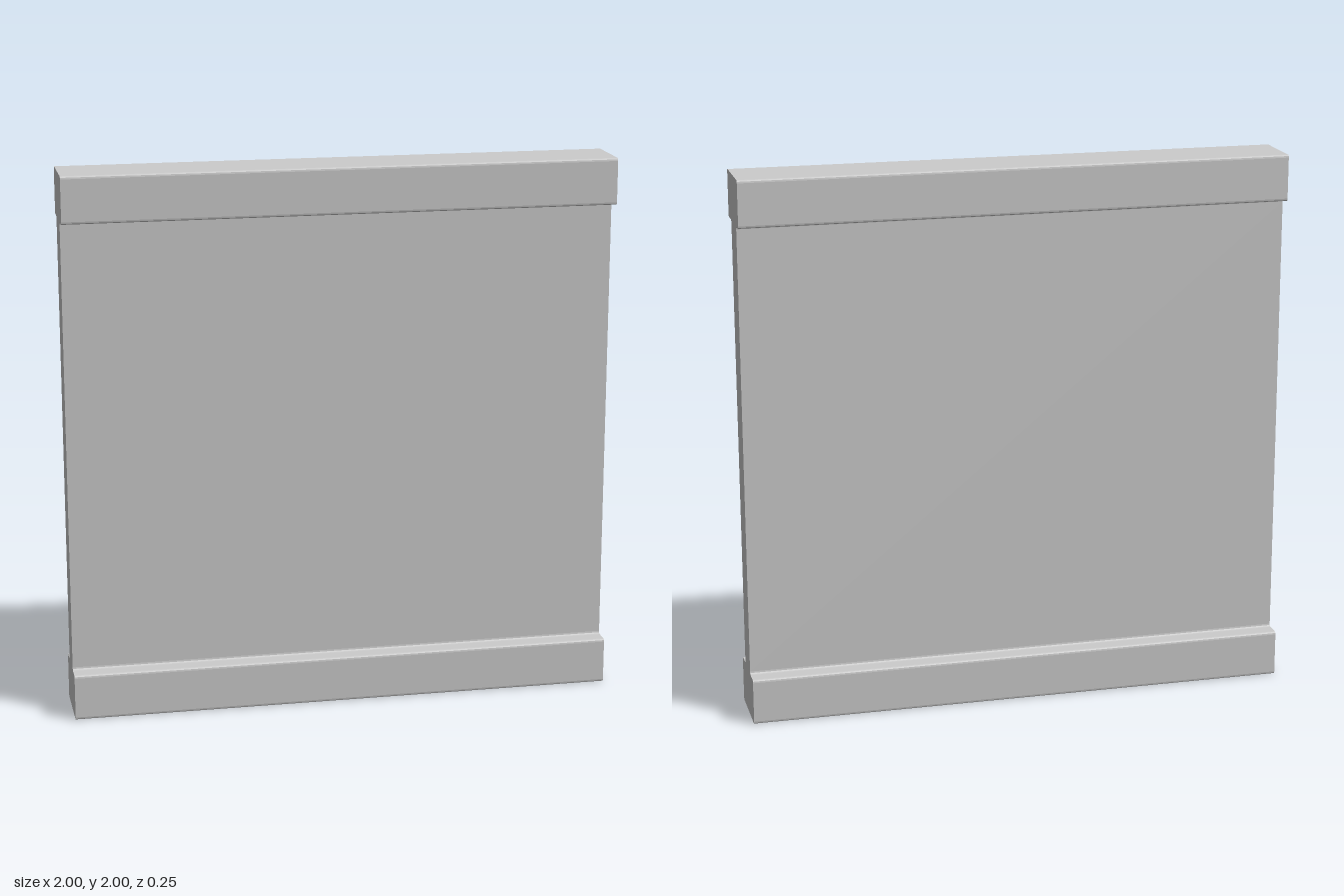
import * as THREE from 'three';

// Closed outline with every corner slightly rounded
function roundedOutline(points, r) {
  const shape = new THREE.Shape();
  const n = points.length;
  points.forEach((p, i) => {
    const toward = (q) => p.clone().add(q.clone().sub(p).setLength(r));
    const a = toward(points[(i + n - 1) % n]);
    const b = toward(points[(i + 1) % n]);
    if (i === 0) shape.moveTo(a.x, a.y);
    else shape.lineTo(a.x, a.y);
    shape.quadraticCurveTo(p.x, p.y, b.x, b.y);
  });
  shape.closePath();
  return shape;
}

export function createModel() {
  const group = new THREE.Group();
  group.name = 'railedPanel';

  // Cross-section (z, y): wide foot rail, thin web, head rail shallower at the back
  const front = 0.124, footBack = -0.124, headBack = -0.108, web = 0.058;
  const footTop = 0.17, headBottom = 1.83, height = 2;
  const section = [
    [footBack, 0], [front, 0], [front, footTop], [web, footTop],
    [web, headBottom], [front, headBottom], [front, height], [headBack, height],
    [headBack, headBottom], [-web, headBottom], [-web, footTop], [footBack, footTop],
  ].map(([z, y]) => new THREE.Vector2(z, y));

  // Extruded along the full width
  const geometry = new THREE.ExtrudeGeometry(roundedOutline(section, 0.01), {
    depth: 2, bevelEnabled: false, curveSegments: 3,
  });
  geometry.rotateY(-Math.PI / 2);
  geometry.translate(1, 0, 0);

  const panel = new THREE.Mesh(geometry, new THREE.MeshStandardMaterial({ color: 0xcccccc }));
  panel.name = 'panelWithRails';
  group.add(panel);
  return group;
}
